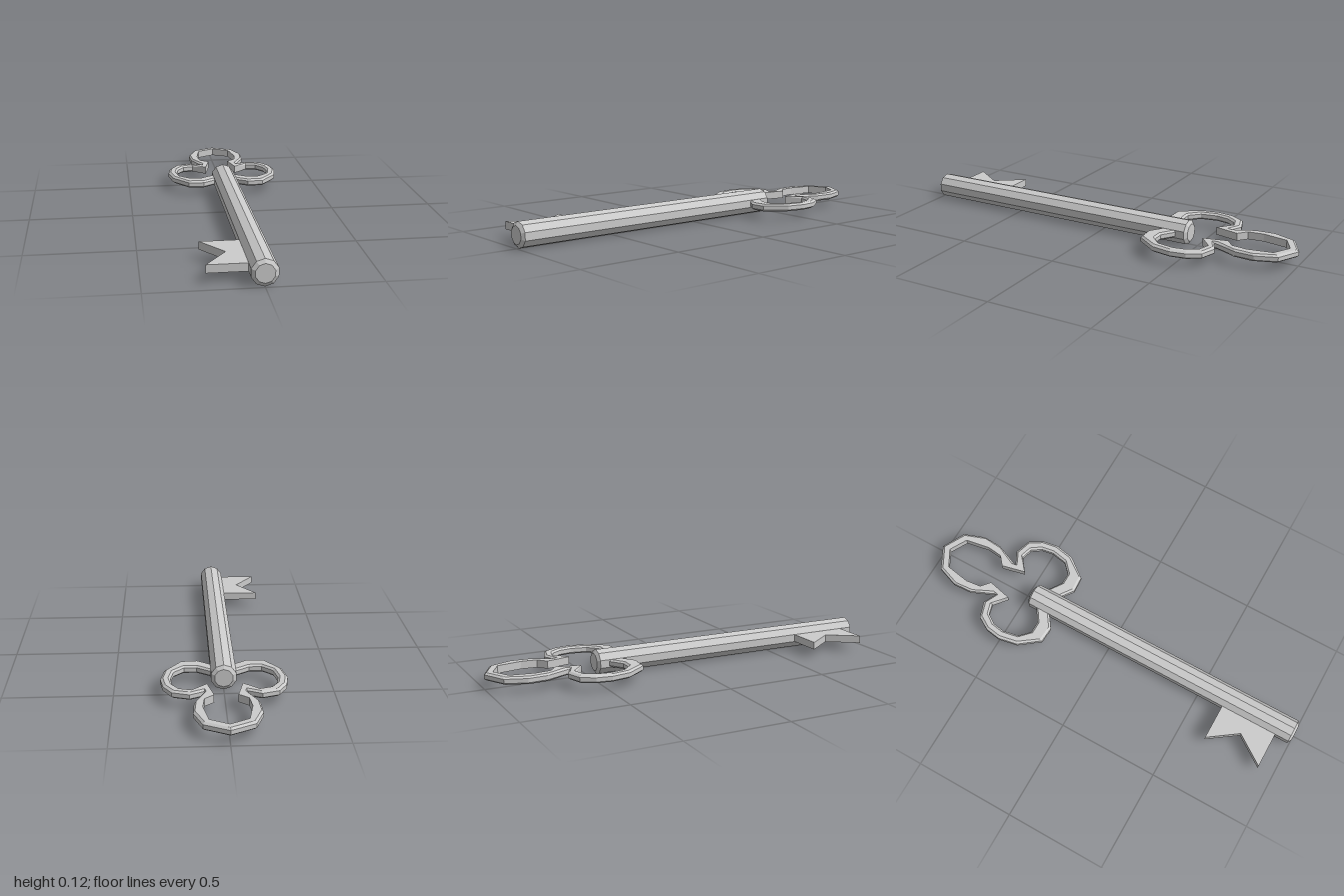
import * as THREE from 'three';

const MID = 0.0625; // height of the key's centre line
const HALF = 0.0185; // half thickness of bow and bit
const material = new THREE.MeshStandardMaterial({ color: 0xcccccc, flatShading: true });

function part(name, geometry) {
  const mesh = new THREE.Mesh(geometry, material);
  mesh.name = name;
  return mesh;
}

// Ten-sided rod along z with bevelled ends
function shaftGeometry() {
  const r = 0.0605, tip = 0.043, bevel = 0.012, back = -0.465, front = 1;
  const profile = [[0, back], [tip, back], [r, back + bevel], [r, front - bevel], [tip, front], [0, front]];
  const g = new THREE.LatheGeometry(profile.map(([x, y]) => new THREE.Vector2(x, y)), 10);
  g.rotateX(Math.PI / 2);
  g.translate(0, MID, 0);
  return g;
}

// Stations of the bow's left half: outer x, outer z, inner x, inner z, inner bevel
const STATIONS = [
  [0.02, -0.36, 0.02, -0.435, 0.01],
  [0.116, -0.29, 0.122, -0.365, 0.01],
  [0.194, -0.295, 0.18, -0.365, 0.01],
  [0.27, -0.395, 0.228, -0.412, 0.01],
  [0.288, -0.49, 0.243, -0.49, 0.01],
  [0.276, -0.566, 0.233, -0.55, 0.01],
  [0.238, -0.63, 0.2, -0.598, 0.01],
  [0.16, -0.656, 0.148, -0.612, 0.01],
  [0.095, -0.624, 0.08, -0.56, 0],
  [0.095, -0.632, 0.053, -0.677, 0],
  [0.143, -0.746, 0.097, -0.714, 0],
  [0.148, -0.84, 0.106, -0.79, 0],
  [0.111, -0.942, 0.085, -0.91, 0],
  [0, -1, 0, -0.957, 0],
];

// Bevelled band swept from the shaft, round three lobes and back to the shaft
function bowGeometry() {
  const mirrored = STATIONS.slice(0, -1).reverse().map(([ox, oz, ix, iz, b]) => [-ox, oz, -ix, iz, b]);
  const rings = [...STATIONS, ...mirrored].map(([ox, oz, ix, iz, bevel]) => {
    const outer = new THREE.Vector3(ox, MID, oz);
    const inner = new THREE.Vector3(ix, MID, iz);
    const across = inner.clone().sub(outer).normalize();
    const at = (base, inset, y) => base.clone().addScaledVector(across, inset).setY(MID + y);
    const edge = 0.01, innerEdge = bevel ? edge : HALF - 0.001;
    return [
      at(outer, 0.012, -HALF), at(outer, 0, -edge), at(outer, 0, edge), at(outer, 0.012, HALF),
      at(inner, -bevel, HALF), at(inner, 0, innerEdge), at(inner, 0, -innerEdge), at(inner, -bevel, -HALF),
    ];
  });
  const n = rings[0].length;
  const index = [];
  for (let s = 0; s < rings.length - 1; s++) {
    for (let k = 0; k < n; k++) {
      const a = s * n + k, b = s * n + (k + 1) % n;
      index.push(a, a + n, b + n, a, b + n, b);
    }
  }
  const g = new THREE.BufferGeometry().setFromPoints(rings.flat());
  g.setIndex(index);
  const flat = g.toNonIndexed();
  flat.computeVertexNormals();
  return flat;
}

// Flat plate with a V notch in its outer edge
function bitGeometry() {
  const outline = [[-0.03, 0.635], [-0.235, 0.635], [-0.135, 0.775], [-0.235, 0.92], [-0.03, 0.92]];
  const shape = new THREE.Shape(outline.map(([x, z]) => new THREE.Vector2(x, z)));
  const g = new THREE.ExtrudeGeometry(shape, { depth: 2 * HALF, bevelEnabled: false });
  g.rotateX(Math.PI / 2);
  g.translate(0, MID + HALF, 0);
  return g;
}

export function createModel() {
  const key = new THREE.Group();
  key.name = 'key';
  key.add(part('shaft', shaftGeometry()), part('bow', bowGeometry()), part('bit', bitGeometry()));
  return key;
}
